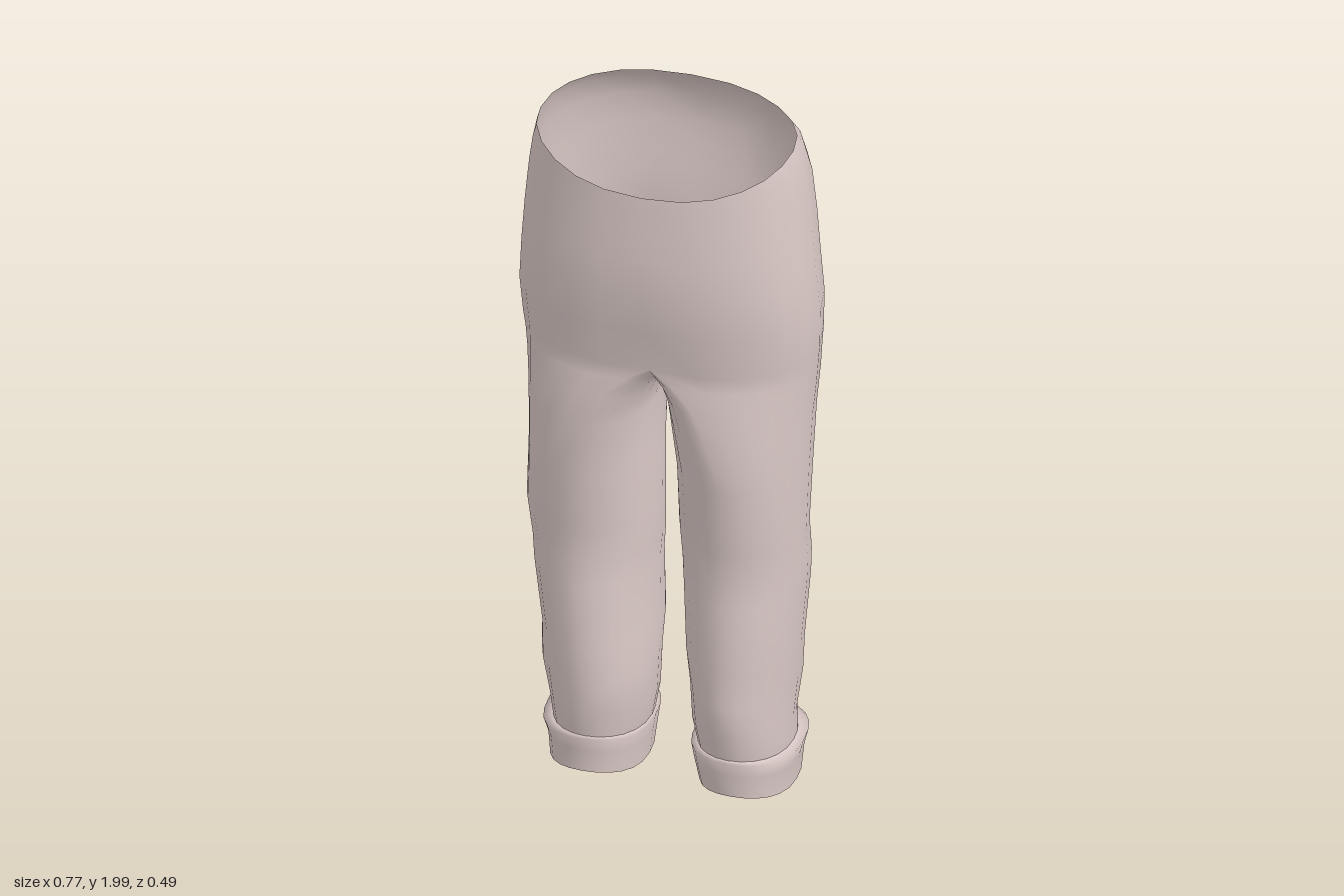
import * as THREE from 'three';
import { mergeVertices, mergeGeometries } from 'three/addons/utils/BufferGeometryUtils.js';

const N = 12; // segments in each half of a ring (outer half, then inner half)

// Ring: heights at front, side, back; depth at front, back; outer and inner x of each leg;
// centre: where the front/back points sit between inner and outer x; pinch: cleft depth;
// dip: height drop of the inner half; power: 1 is oval, less is squarer
const ring = (yf, ys, yb, zf, zb, left, right, centre = 0.5, pinch = 0, dip = 0,
  power = 0.87 + 0.26 * centre) =>
  ({ yf, ys, yb, zf, zb, left, right, centre, pinch, dip, power });
const hip = (yf, ys, yb, zf, zb, x, pinch = 0, dip = 0) =>
  ring(yf, ys, yb, zf, zb, [x, 0], [x, 0], 0, pinch, dip);
const level = (y, zf, zb, left, right) => ring(y, y, y, zf, zb, left, right);

const HIPS = [
  hip(1.89, 1.965, 1.995, 0.245, -0.168, 0.328),
  hip(1.85, 1.92, 1.955, 0.246, -0.205, 0.342),
  hip(1.8, 1.84, 1.89, 0.246, -0.235, 0.355),
  hip(1.7, 1.72, 1.81, 0.247, -0.24, 0.367),
  hip(1.6, 1.6, 1.74, 0.245, -0.238, 0.376, 0.01),
  hip(1.47, 1.47, 1.67, 0.23, -0.238, 0.385, 0.03),
  hip(1.34, 1.36, 1.58, 0.208, -0.242, 0.38, 0.1, 0.11),
];

// The last hip ring is the crotch; the legs continue from it
const LEGS = [
  ring(1.3, 1.31, 1.48, 0.204, -0.244, [0.375, 0.001], [0.374, 0.005], 0.16, 0.05, 0.08),
  ring(1.24, 1.25, 1.37, 0.2, -0.245, [0.37, 0.002], [0.37, 0.016], 0.3, 0.02, 0.05),
  ring(1.15, 1.15, 1.2, 0.198, -0.24, [0.36, 0.006], [0.366, 0.03], 0.4),
  level(1.0, 0.185, -0.223, [0.352, 0.018], [0.365, 0.031]),
  level(0.8, 0.158, -0.206, [0.342, 0.022], [0.374, 0.031]),
  level(0.7, 0.145, -0.226, [0.342, 0.025], [0.366, 0.036]),
  level(0.63, 0.155, -0.242, [0.338, 0.029], [0.36, 0.042]),
  level(0.44, 0.152, -0.239, [0.324, 0.037], [0.34, 0.041]),
  level(0.34, 0.152, -0.227, [0.315, 0.043], [0.332, 0.04]),
  ring(0.25, 0.23, 0.22, 0.145, -0.213, [0.306, 0.056], [0.316, 0.05]),
  ring(0.17, 0.15, 0.13, 0.126, -0.214, [0.304, 0.065], [0.31, 0.064]),
];

const CUFF = [
  LEGS[LEGS.length - 1],
  ring(0.166, 0.143, 0.124, 0.135, -0.238, [0.326, 0.05], [0.334, 0.058], 0.5, 0, 0, 0.9),
  ring(0.125, 0.1, 0.08, 0.126, -0.236, [0.315, 0.056], [0.322, 0.065], 0.5, 0, 0, 0.9),
  ring(0.06, 0.03, 0.002, 0.12, -0.222, [0.31, 0.07], [0.318, 0.072], 0.5, 0, 0, 0.93),
];

// Point j of a ring, running front -> outside -> back -> inside
function ringPoint(r, j, side) {
  const t = Math.PI / 2 - (j / N) * Math.PI;
  const round = (v) => (Math.abs(v) < 1e-6 ? 0 : Math.sign(v) * Math.abs(v) ** r.power);
  const c = round(Math.cos(t)), s = round(Math.sin(t));
  const [outer, inner] = side > 0 ? r.left : r.right;
  const mid = inner + (outer - inner) * r.centre;
  // soft wrinkles just above the ankle
  const fold = 0.035 * Math.max(0, 1 - Math.abs(r.ys - 0.34) / 0.17);
  const puff = 1 + fold * Math.sin(3 * t + r.ys * 24 + side);
  const x = mid + c * puff * (c > 0 ? outer - mid : mid - inner);
  const cleft = 1 - r.pinch * (1 - Math.max(c, 0)) ** 2;
  const zc = (r.zf + r.zb) / 2, zr = (r.zf - r.zb) / 2;
  const z = zc + s * zr * puff * cleft;
  const y = r.ys + ((s > 0 ? r.yf : r.yb) - r.ys) * s * s - (c < 0 ? r.dip * c * c : 0);
  return [side * x, y, z];
}

// Skin between rings; rows before closedFrom only carry the outer half
function loft(rows, side, closedFrom = 0) {
  const pos = [], idx = [], M = 2 * N;
  rows.forEach((r) => { for (let j = 0; j < M; j++) pos.push(...ringPoint(r, j, side)); });
  for (let i = 0; i + 1 < rows.length; i++) {
    for (let j = 0; j < (i < closedFrom ? N : M); j++) {
      const k = (j + 1) % M;
      const a = i * M + j, b = a + M, c = (i + 1) * M + k, d = i * M + k;
      if (side > 0) idx.push(a, b, c, a, c, d);
      else idx.push(a, c, b, a, d, c);
    }
  }
  const g = new THREE.BufferGeometry();
  g.setAttribute('position', new THREE.Float32BufferAttribute(pos, 3));
  g.setIndex(idx);
  return g;
}

// Flat closing face at the bottom of a leg
function legEnd(r, side) {
  const pos = [], idx = [], M = 2 * N;
  for (let j = 0; j < M; j++) pos.push(...ringPoint(r, j, side));
  for (let j = 1; j + 1 < M; j++) {
    if (side > 0) idx.push(0, j + 1, j);
    else idx.push(0, j, j + 1);
  }
  const g = new THREE.BufferGeometry();
  g.setAttribute('position', new THREE.Float32BufferAttribute(pos, 3));
  g.setIndex(idx);
  g.computeVertexNormals();
  return g;
}

export function createModel() {
  const cloth = new THREE.MeshStandardMaterial({ color: 0xdccbc8, side: THREE.DoubleSide });
  cloth.name = 'pale pink cloth';
  const model = new THREE.Group();
  model.name = 'trousers';
  const add = (name, geometry) => {
    const mesh = new THREE.Mesh(geometry, cloth);
    mesh.name = name;
    model.add(mesh);
  };

  // Hips and legs, both halves welded along the centre seam
  const rows = [...HIPS, ...LEGS];
  const halves = [1, -1].map((side) => loft(rows, side, HIPS.length - 1));
  const body = mergeVertices(mergeGeometries(halves), 1e-4);
  body.computeVertexNormals();
  add('hipsAndLegs', body);

  // Turned-up cuffs and closed leg ends
  for (const [side, name] of [[1, 'left'], [-1, 'right']]) {
    const cuff = loft(CUFF, side);
    cuff.computeVertexNormals();
    add(name + 'Cuff', cuff);
    add(name + 'LegEnd', legEnd(CUFF[CUFF.length - 1], side));
  }
  return model;
}
